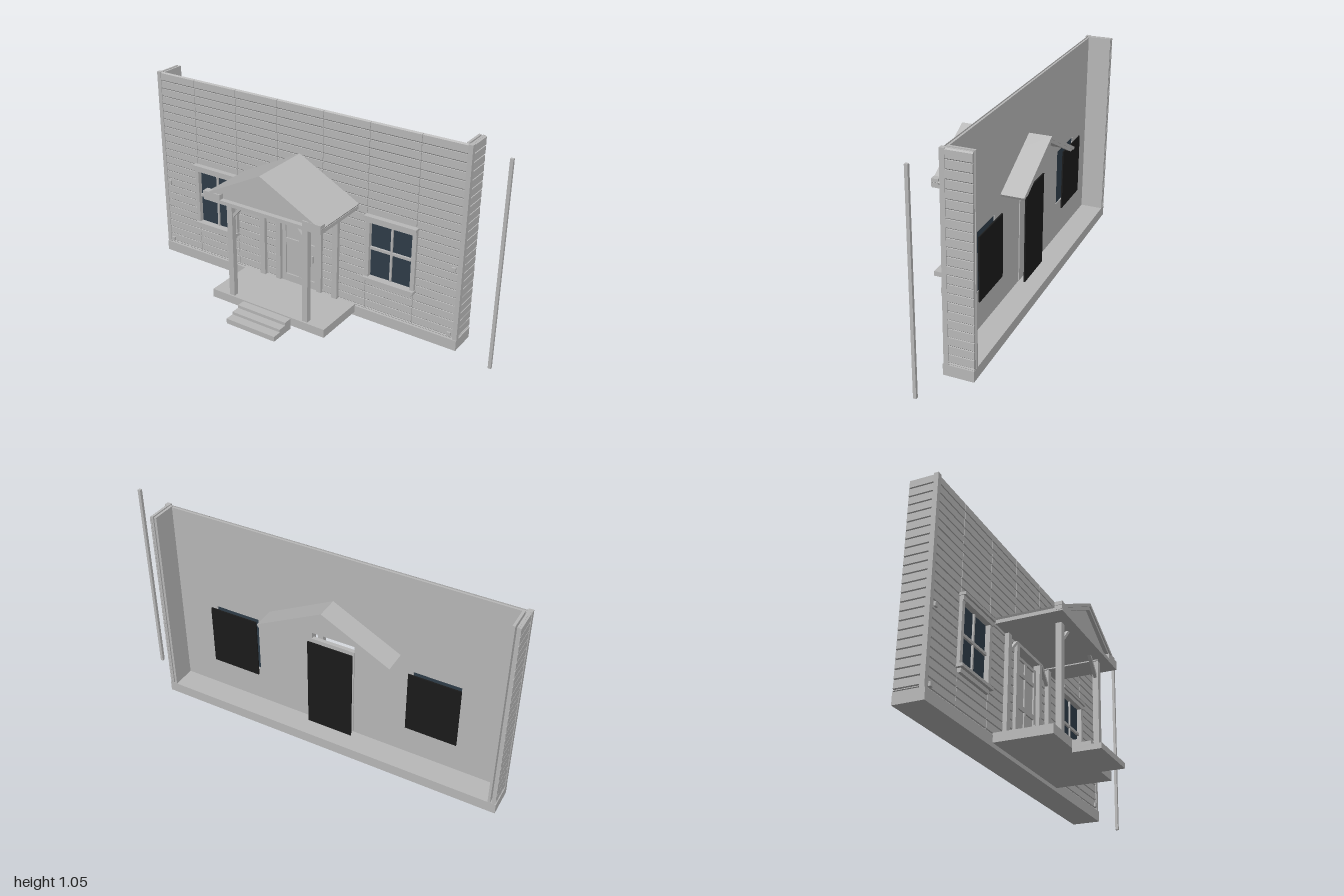
import * as THREE from 'three';

export function createModel() {
  const root = new THREE.Group();
  root.name = 'houseFront';
  const mat = (name, color) => Object.assign(new THREE.MeshStandardMaterial({ color }), { name });
  const grey = mat('paintedWood', 0xb8b8b8);
  const glass = mat('windowGlass', 0x2f3d49);
  const black = mat('darkBacking', 0x1b1b1b);
  const CX = -0.1; // centre line of the facade

  const add = (name, geo, m = grey) => {
    const mesh = new THREE.Mesh(geo, m);
    mesh.name = name;
    root.add(mesh);
    return mesh;
  };
  // Box given by its limits on each axis
  const box = (name, x0, x1, y0, y1, z0, z1, m) => {
    const mesh = add(name, new THREE.BoxGeometry(x1 - x0, y1 - y0, z1 - z0), m);
    mesh.position.set((x0 + x1) / 2, (y0 + y1) / 2, (z0 + z1) / 2);
    return mesh;
  };
  // Box mirrored about the centre line, given by distances from it
  const pair = (name, a, b, ...rest) => {
    box(name + 'Left', CX + a, CX + b, ...rest);
    box(name + 'Right', CX - b, CX - a, ...rest);
  };
  const polygon = (pts) => new THREE.Shape(pts.map(([x, y]) => new THREE.Vector2(x, y)));
  const extrude = (shape, depth) => new THREE.ExtrudeGeometry(shape, { depth, bevelEnabled: false });

  // Foundation
  box('foundation', -1, 0.8, 0, 0.055, -0.285, -0.138);

  // Backing wall with door and window openings
  const wall = polygon([[-0.985, 0.055], [0.785, 0.055], [0.785, 1.045], [-0.985, 1.045]]);
  const openings = [[-0.745, -0.51, 0.25, 0.55], [-0.215, 0.015, 0.06, 0.582], [0.31, 0.545, 0.25, 0.55]];
  for (const [a, b, c, d] of openings) wall.holes.push(polygon([[a, c], [a, d], [b, d], [b, c]]));
  add('wall', extrude(wall, 0.012)).position.z = -0.165;

  // Clapboard cladding: each board has a chamfered lower edge
  const PITCH = 0.0426;
  const siding = (name, length, y0, y1) => {
    const pts = [[0.002, y0]];
    for (let k = 24; k >= 0; k--) {
      const y = 1.0446 - k * PITCH;
      const lo = Math.max(y, y0), hi = Math.min(y + PITCH, y1);
      if (hi - lo < 0.008) continue;
      pts.push([-0.001, lo], [-0.008, lo + 0.006], [-0.007, hi - 0.0005]);
    }
    pts.push([0.002, y1]);
    return add(name, extrude(polygon(pts), length));
  };
  const frontSiding = (x0, x1, y0, y1) => {
    const s = siding('frontSiding', x1 - x0 - 0.003, y0, y1);
    s.rotation.y = Math.PI / 2;
    s.position.set(x0 + 0.0015, 0, -0.153);
  };
  const bays = [-0.98, -0.755, -0.49, -0.235, 0.035, 0.29, 0.555, 0.78];
  for (let i = 0; i < 7; i++) {
    const [a, b] = [bays[i], bays[i + 1]];
    if (i === 1 || i === 5) {
      frontSiding(a, b, 0.055, 0.245);
      frontSiding(a, b, 0.555, 1.05);
    } else frontSiding(a, b, i === 3 ? 0.585 : 0.055, 1.05);
  }

  // Side returns, inner panels and corner boards
  siding('rightReturnSiding', 0.12, 0.055, 1.05).position.set(-0.99, 0, -0.285);
  const leftReturn = siding('leftReturnSiding', 0.12, 0.055, 1.05);
  leftReturn.rotation.y = Math.PI;
  leftReturn.position.set(0.79, 0, -0.165);
  pair('returnPanel', 0.86, 0.872, 0.055, 1.05, -0.285, -0.16);
  pair('returnCore', 0.879, 0.889, 0.055, 1.05, -0.284, -0.15);
  pair('cornerBoard', 0.877, 0.9, 0.055, 1.05, -0.165, -0.142);
  for (const y of [0.07, 0.42]) pair('cornerClip', 0.848, 0.868, y, y + 0.02, -0.15, -0.135);

  // Sash windows
  for (const [side, s] of [['left', 1], ['right', -1]]) {
    const cx = CX + s * 0.528;
    const b = (part, x0, x1, ...r) => box(side + part, cx + x0, cx + x1, ...r);
    b('WindowGlass', -0.118, 0.118, 0.25, 0.55, -0.16, -0.154, glass);
    b('WindowBacking', -0.128, 0.128, 0.24, 0.56, -0.203, -0.196, black);
    b('WindowHead', -0.137, 0.137, 0.55, 0.572, -0.155, -0.125);
    b('WindowCap', -0.14, 0.14, 0.572, 0.586, -0.155, -0.115);
    b('WindowSill', -0.14, 0.14, 0.238, 0.253, -0.155, -0.115);
    b('WindowApron', -0.125, 0.125, 0.218, 0.238, -0.155, -0.13);
    for (const j of [-1, 1]) {
      const e = [j * 0.115, j * 0.137].sort((p, q) => p - q);
      b('WindowJamb', e[0], e[1], 0.25, 0.55, -0.155, -0.13);
    }
    b('WindowMullion', -0.005, 0.005, 0.25, 0.55, -0.155, -0.145);
    b('WindowRail', -0.117, 0.117, 0.4, 0.414, -0.155, -0.143);
  }

  // Door: frame, leaf, raised stiles and rails, handle
  pair('doorJamb', 0.112, 0.14, 0.06, 0.582, -0.165, -0.13);
  box('doorHead', CX - 0.14, CX + 0.14, 0.58, 0.597, -0.165, -0.13);
  box('doorLeaf', CX - 0.113, CX + 0.113, 0.06, 0.55, -0.17, -0.158);
  box('doorBacking', CX - 0.118, CX + 0.118, 0.06, 0.552, -0.203, -0.196, black);
  pair('doorStile', 0.09, 0.112, 0.06, 0.55, -0.16, -0.15);
  box('doorMiddleStile', CX - 0.009, CX + 0.009, 0.06, 0.55, -0.16, -0.151);
  for (const [y0, y1] of [[0.06, 0.1], [0.285, 0.31], [0.455, 0.475], [0.535, 0.55]])
    box('doorRail', CX - 0.1, CX + 0.1, y0, y1, -0.16, -0.15);
  box('doorHandle', -0.022, -0.015, 0.215, 0.255, -0.15, -0.137);

  // Porch deck and steps
  box('porchDeck', CX - 0.34, CX + 0.34, 0.02, 0.065, -0.14, 0.147);
  [[0.027, 0.285], [0.042, 0.237], [0.058, 0.192]].forEach(([y, z], i) =>
    box('step' + (i + 1), CX - 0.145, CX + 0.145, i ? [0.027, 0.042][i - 1] : 0, y, 0.147, z));

  // Posts, wall posts and braces
  pair('porchPost', 0.207, 0.238, 0.065, 0.6, 0.109, 0.138);
  pair('wallPost', 0.207, 0.238, 0.065, 0.6, -0.148, -0.125);
  for (const s of [-1, 1]) for (const z of [0.115, -0.145]) {
    const pts = [[0.208, 0.505], [0.208, 0.525], [0.145, 0.594], [0.127, 0.594]];
    add('brace', extrude(polygon(pts.map(([x, y]) => [CX + s * x, y])), 0.016)).position.z = z;
  }

  // Porch roof: slopes, gable face, tie board, eave returns, ceiling
  for (const s of [-1, 1]) {
    const slope = [[0, 0.8], [0.343, 0.622], [0.335, 0.609], [0, 0.783]];
    add(s > 0 ? 'roofSlopeLeft' : 'roofSlopeRight',
      extrude(polygon(slope.map(([x, y]) => [CX + s * x, y])), 0.465)).position.z = -0.28;
    const barge = [[0, 0.785], [0.33, 0.614], [0.295, 0.614], [0, 0.766]];
    for (const z of [0.165, -0.278])
      add('bargeBoard', extrude(polygon(barge.map(([x, y]) => [CX + s * x, y])), 0.014)).position.z = z;
  }
  add('gableFace', extrude(polygon([[CX - 0.3, 0.61], [CX + 0.3, 0.61], [CX, 0.77]]), 0.008)).position.z = 0.152;
  box('tieBoard', CX - 0.34, CX + 0.34, 0.594, 0.613, 0.145, 0.186);
  pair('eaveReturn', 0.24, 0.342, 0.6, 0.64, 0.15, 0.186);
  pair('eaveBeam', 0.2, 0.34, 0.594, 0.612, -0.145, 0.15);
  const ceiling = add('porchCeiling', new THREE.PlaneGeometry(0.66, 0.43));
  ceiling.rotation.x = Math.PI / 2;
  ceiling.position.set(CX, 0.6, -0.065);

  // Free-standing corner strip beside the wall
  box('looseStrip', 0.985, 1, 0, 1.05, -0.114, -0.099);

  return root;
}
